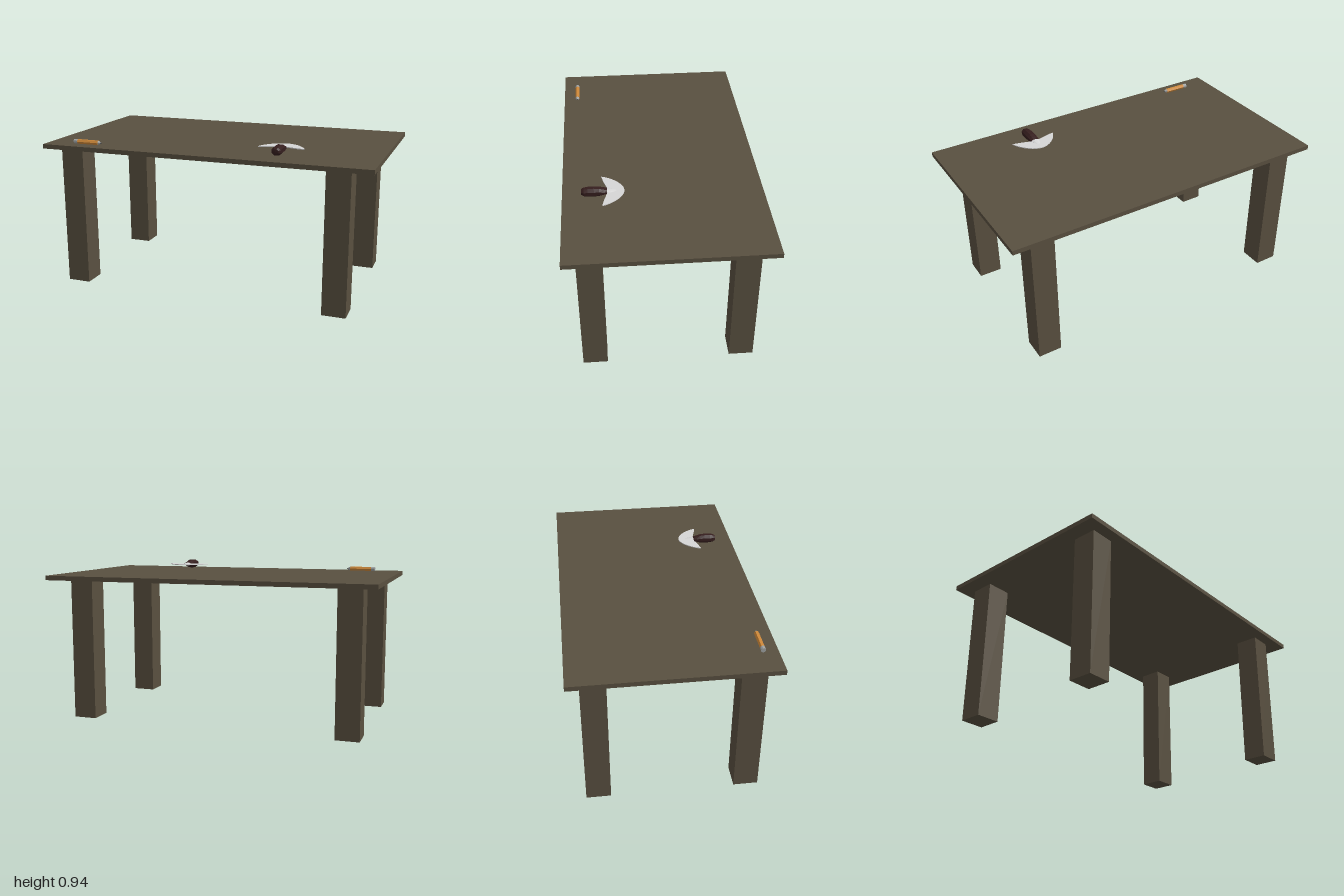
import * as THREE from 'three';

const mat = (name, color) => {
  const m = new THREE.MeshStandardMaterial({ color, flatShading: true });
  m.name = name;
  return m;
};

export function createModel() {
  const wood = mat('dark wood', 0x595040);
  const handleBrown = mat('handle brown', 0x351e1e);
  const steel = mat('steel', 0xd6d6d6);
  const orange = mat('pencil orange', 0xd08a3a);
  const grey = mat('pencil grey', 0xa0a4a4);
  const lead = mat('lead', 0x444444);

  const root = new THREE.Group();
  root.name = 'table';
  const add = (parent, name, geo, material, x = 0, y = 0, z = 0) => {
    const mesh = new THREE.Mesh(geo, material);
    mesh.name = name;
    mesh.position.set(x, y, z);
    parent.add(mesh);
    return mesh;
  };

  // Table top and four square legs
  add(root, 'tableTop', new THREE.BoxGeometry(2, 0.027, 1.142), wood, 0, 0.8695, 0);
  for (const x of [-0.842, 0.797]) {
    for (const z of [0.431, -0.426]) {
      add(root, 'leg', new THREE.BoxGeometry(0.141, 0.856, 0.142), wood, x, 0.428, z);
    }
  }

  // Pencil lying along x: eraser, hexagonal barrel, sharpened end
  const pencil = new THREE.Group();
  pencil.name = 'pencil';
  pencil.position.set(0, 0.897, 0.486);
  root.add(pencil);
  const rod = (name, x0, x1, r0, r1, sides, material) => {
    const g = new THREE.CylinderGeometry(r1, r0, x1 - x0, sides);
    g.rotateZ(-Math.PI / 2);
    add(pencil, name, g, material, (x0 + x1) / 2);
  };
  rod('eraser', -0.83, -0.806, 0.014, 0.014, 10, grey);
  rod('barrel', -0.806, -0.668, 0.0145, 0.0145, 6, orange);
  rod('sharpenedEnd', -0.668, -0.652, 0.013, 0.005, 10, grey);
  rod('leadTip', -0.652, -0.645, 0.005, 0.001, 10, lead);

  // Hand cutter: octagonal lofts along z from [z, half width, half height]
  const cutter = new THREE.Group();
  cutter.name = 'handCutter';
  cutter.position.set(0.428, 0.916, 0);
  root.add(cutter);
  const loft = (name, sections, material) => {
    const k = 1 / Math.cos(Math.PI / 8);
    const pts = sections.map(([z, w]) => new THREE.Vector2(w * k, z));
    const g = new THREE.LatheGeometry(pts, 8);
    g.rotateY(Math.PI / 8).rotateX(Math.PI / 2);
    const p = g.attributes.position;
    for (let i = 0; i < p.count; i++) {
      const [, w, h] = sections[i % sections.length];
      if (w > 0) p.setY(i, p.getY(i) * h / w);
    }
    g.computeVertexNormals();
    add(cutter, name, g, material);
  };
  loft('handle', [
    [0.317, 0, 0], [0.317, 0.024, 0.011], [0.335, 0.027, 0.017], [0.36, 0.028, 0.024],
    [0.39, 0.028, 0.027], [0.425, 0.028, 0.026], [0.448, 0.026, 0.022],
    [0.461, 0.018, 0.015], [0.463, 0, 0],
  ], handleBrown);
  loft('bladeCollar', [
    [0.265, 0, 0], [0.265, 0.014, 0.003], [0.295, 0.02, 0.007], [0.322, 0.023, 0.01], [0.322, 0, 0],
  ], steel);

  // Crescent blade, drawn as x and z
  const blade = new THREE.Shape();
  blade.moveTo(-0.137, 0.346);
  blade.bezierCurveTo(-0.115, 0.275, -0.05, 0.219, 0, 0.219);
  blade.bezierCurveTo(0.05, 0.219, 0.115, 0.275, 0.137, 0.346);
  blade.lineTo(0.09, 0.336);
  blade.lineTo(0.028, 0.317);
  blade.lineTo(-0.028, 0.317);
  blade.lineTo(-0.09, 0.336);
  blade.closePath();
  const bladeGeo = new THREE.ExtrudeGeometry(blade, { depth: 0.005, bevelEnabled: false, curveSegments: 14 });
  bladeGeo.translate(0, 0, -0.0025).rotateX(Math.PI / 2);
  add(cutter, 'blade', bladeGeo, steel);

  return root;
}
